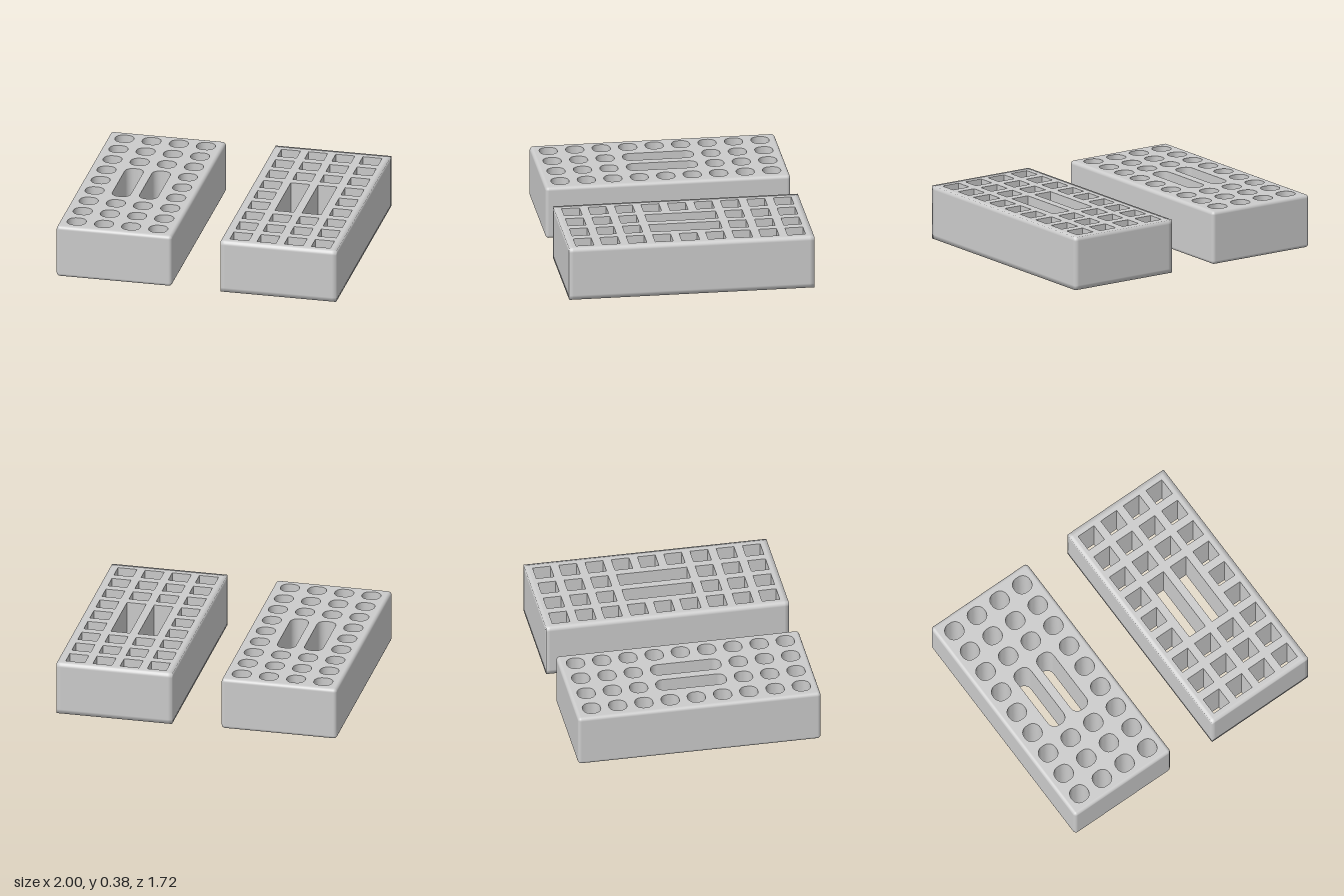
import * as THREE from 'three';

const HALF_W = 0.4125, HALF_L = 0.861, HEIGHT = 0.38, EDGE = 0.03;
const material = new THREE.MeshStandardMaterial({ color: 0xcccccc });

// Unit direction; when square, pushed out onto the unit square.
function direction(angle, square) {
  const c = Math.cos(angle), s = Math.sin(angle);
  const m = square ? Math.max(Math.abs(c), Math.abs(s)) : 1;
  return [c / m, s / m];
}

// Closed loop of { x, z, angle }: four core corners, each swept by a quarter turn of radius r.
function ring(cx, cz, coreX, coreZ, r, segments, square = false) {
  const points = [];
  for (let k = 0; k < 4; k++) {
    const sx = k === 0 || k === 3 ? 1 : -1, sz = k < 2 ? 1 : -1;
    for (let i = 0; i <= segments; i++) {
      const angle = (k + (segments ? i / segments : 0.5)) * Math.PI / 2;
      const [dx, dz] = direction(angle, square);
      points.push({ x: cx + sx * coreX + dx * r, z: cz + sz * coreZ + dz * r, angle });
    }
  }
  return points;
}

// Skin between stacked rings; faces outward when the rings run upward.
function loft(rings) {
  const n = rings[0].points.length, positions = [], normals = [], index = [];
  rings.forEach(({ points, y, tilt = 0 }, i) => points.forEach((p, j) => {
    positions.push(p.x, y, p.z);
    normals.push(Math.cos(p.angle) * Math.cos(tilt), Math.sin(tilt), Math.sin(p.angle) * Math.cos(tilt));
    if (i === rings.length - 1) return;
    const a = i * n + j, b = i * n + (j + 1) % n;
    index.push(a, a + n, b + n, a, b + n, b);
  }));
  const geometry = new THREE.BufferGeometry();
  geometry.setAttribute('position', new THREE.Float32BufferAttribute(positions, 3));
  geometry.setAttribute('normal', new THREE.Float32BufferAttribute(normals, 3));
  geometry.setIndex(index);
  return geometry;
}

// Outer sides with softened top and bottom edges.
function shellGeometry(edge, square) {
  const rings = [], steps = 6;
  for (const top of [0, 1]) {
    for (let i = 0; i <= steps; i++) {
      const tilt = (top - 1 + i / steps) * Math.PI / 2;
      const [out, up] = direction(tilt, square);
      rings.push({
        points: ring(0, 0, HALF_W - edge, HALF_L - edge, edge * out, steps, square),
        y: (top ? HEIGHT - edge : edge) + up * edge,
        tilt
      });
    }
  }
  return loft(rings);
}

// Four columns of nine holes; two slots replace the middle of the inner columns.
function holeRings(halfX, halfZ, corner, segments) {
  const rings = [];
  for (let col = 0; col < 4; col++) {
    const inner = col === 1 || col === 2;
    for (let row = 0; row < 9; row++) {
      if (inner && (row === 3 || row === 5)) continue;
      const halfLength = inner && row === 4 ? 0.186 + halfZ : halfZ;
      rings.push(ring((col - 1.5) * 0.194, (row - 4) * 0.186,
        halfX - corner, halfLength - corner, corner, segments));
    }
  }
  return rings;
}

function createBrick(name, { edge, square, halfX, halfZ, corner, segments }) {
  const brick = new THREE.Group();
  brick.name = name;
  const add = (partName, geometry) => {
    const mesh = new THREE.Mesh(geometry, material);
    mesh.name = partName;
    brick.add(mesh);
    return mesh;
  };
  add('outerSides', shellGeometry(edge, square));

  // Perforated top and bottom faces
  const holes = holeRings(halfX, halfZ, corner, segments);
  const w = HALF_W - edge, l = HALF_L - edge;
  const face = new THREE.Shape([[-w, -l], [w, -l], [w, l], [-w, l]].map(([x, y]) => new THREE.Vector2(x, y)));
  face.holes = holes.map(h => new THREE.Path(h.map(p => new THREE.Vector2(p.x, p.z))));
  add('topFace', new THREE.ShapeGeometry(face).rotateX(-Math.PI / 2)).position.y = HEIGHT;
  add('bottomFace', new THREE.ShapeGeometry(face).rotateX(Math.PI / 2));

  // Inner walls of the holes, facing into each opening
  for (const points of holes) {
    let wall = loft([{ points, y: HEIGHT }, { points, y: 0 }]);
    if (square) wall = wall.toNonIndexed();
    wall.computeVertexNormals();
    add('holeWall', wall);
  }
  return brick;
}

export function createModel() {
  const model = new THREE.Group();
  model.name = 'perforatedBricks';
  const round = createBrick('roundHoleBrick',
    { edge: 0.025, square: false, halfX: 0.066, halfZ: 0.063, corner: 0.056, segments: 8 });
  round.position.x = -0.5875;
  const square = createBrick('squareHoleBrick',
    { edge: EDGE, square: true, halfX: 0.068, halfZ: 0.063, corner: 0, segments: 0 });
  square.position.x = 0.5875;
  model.add(round, square);
  return model;
}
